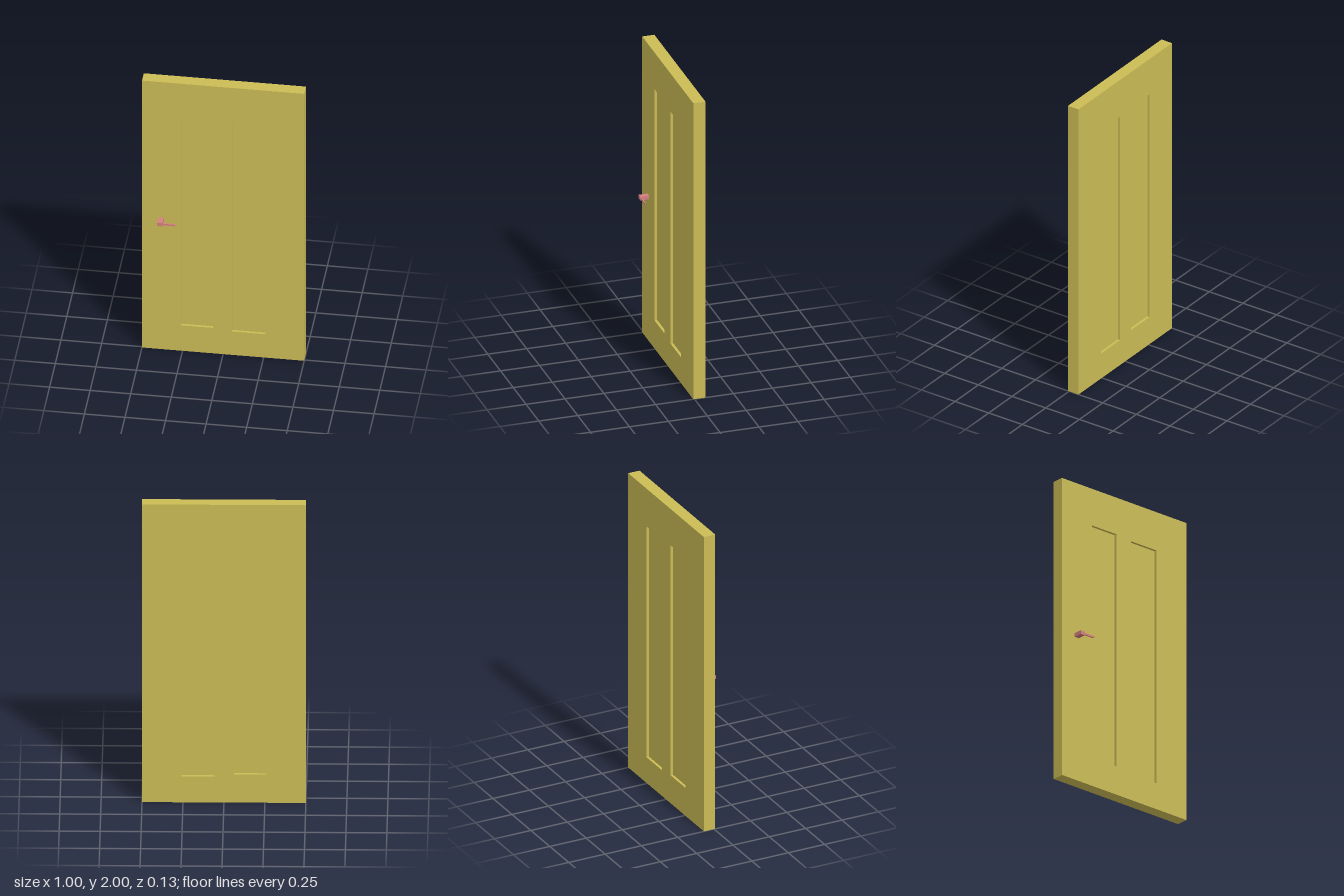
import * as THREE from 'three';

const FRONT = 0.008, BACK = -0.07, RECESS = 0.017;
// Recessed panels: [x0, x1, y0, y1]
const PANELS = [[-0.26, -0.062, 0.19, 1.753], [0.054, 0.26, 0.175, 1.742]];

function rect(target, x0, x1, y0, y1) {
  target.moveTo(x0, y0);
  target.lineTo(x1, y0);
  target.lineTo(x1, y1);
  target.lineTo(x0, y1);
  target.closePath();
  return target;
}

function box(name, material, [x0, x1], [y0, y1], [z0, z1]) {
  const mesh = new THREE.Mesh(new THREE.BoxGeometry(x1 - x0, y1 - y0, z1 - z0), material);
  mesh.position.set((x0 + x1) / 2, (y0 + y1) / 2, (z0 + z1) / 2);
  mesh.name = name;
  return mesh;
}

export function createModel() {
  const group = new THREE.Group();
  group.name = 'door';
  const wood = new THREE.MeshStandardMaterial({ color: 0xcbbb55 });
  const metal = new THREE.MeshStandardMaterial({ color: 0xd47f7f });

  // Door slab with an opening for each panel
  const outline = rect(new THREE.Shape(), -0.5, 0.5, 0, 2);
  for (const p of PANELS) outline.holes.push(rect(new THREE.Path(), ...p));
  const slab = new THREE.Mesh(
    new THREE.ExtrudeGeometry(outline, { depth: FRONT - BACK, bevelEnabled: false }), wood);
  slab.position.z = BACK;
  slab.name = 'doorFrame';
  group.add(slab);

  // Panels set back from both faces
  PANELS.forEach(([x0, x1, y0, y1], i) => {
    group.add(box(i ? 'leftPanel' : 'rightPanel', wood,
      [x0, x1], [y0, y1], [BACK + RECESS, FRONT - RECESS]));
  });

  // Handle: square post and a lever that narrows at its tip
  const handle = new THREE.Group();
  handle.name = 'handle';
  handle.add(box('handlePost', metal, [-0.398, -0.365], [0.961, 0.985], [FRONT, 0.065]));
  const lever = box('handleLever', metal, [-0.365, -0.295], [0.967, 0.979], [0.055, 0.063]);
  const tip = box('leverTip', metal, [-0.295, -0.286], [0.967, 0.979], [0.055, 0.063]);
  const pos = tip.geometry.attributes.position;
  for (let i = 0; i < pos.count; i++) {
    if (pos.getX(i) > 0) {
      pos.setY(i, pos.getY(i) * 0.75);
      pos.setZ(i, pos.getZ(i) * 0.5);
    }
  }
  tip.geometry.computeVertexNormals();
  handle.add(lever, tip);
  group.add(handle);

  return group;
}
